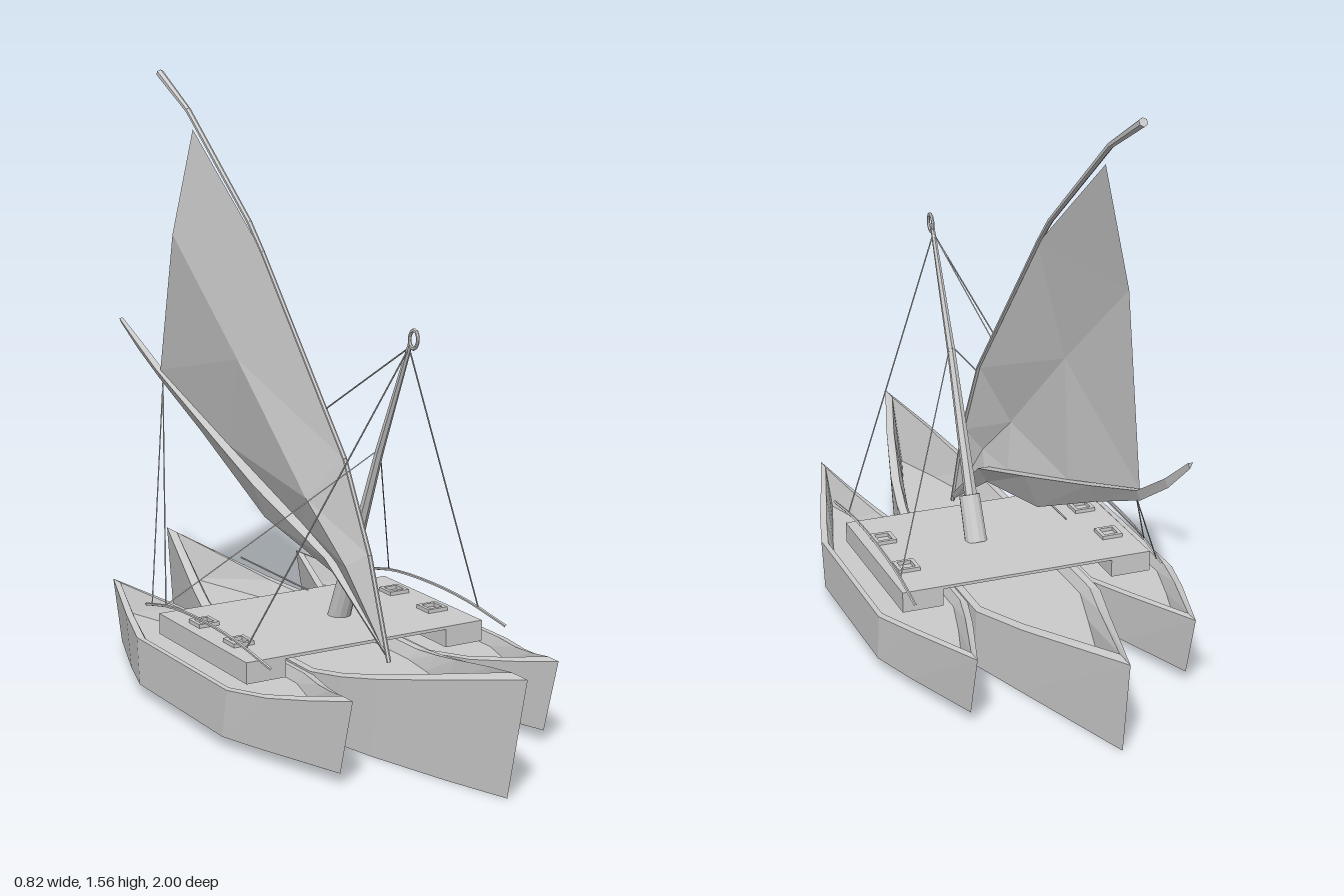
import * as THREE from 'three';

const V = (x, y, z) => new THREE.Vector3(x, y, z);
const material = new THREE.MeshStandardMaterial({ color: 0xcccccc, flatShading: true });
const thinMaterial = new THREE.MeshStandardMaterial({ color: 0xcccccc, flatShading: true, side: THREE.DoubleSide });

function mesh(geometry, name, mat = material) {
  const m = new THREE.Mesh(geometry, mat);
  m.name = name;
  return m;
}

// Geometry from a list of triangles, each a Vector3 triple
function fromTriangles(tris) {
  const g = new THREE.BufferGeometry().setFromPoints(tris);
  g.computeVertexNormals();
  return g;
}

// Quads between successive rows of points
function loft(rows, closed) {
  const tris = [];
  for (let r = 0; r < rows.length - 1; r++) {
    const a = rows[r], b = rows[r + 1], n = a.length;
    for (let i = 0; i < (closed ? n : n - 1); i++) {
      const j = (i + 1) % n;
      tris.push(a[i], a[j], b[j], a[i], b[j], b[i]);
    }
  }
  return tris;
}

// Tapered rod between two points
function rod(a, b, r0, r1, name, sides = 6) {
  const m = mesh(new THREE.CylinderGeometry(r1, r0, a.distanceTo(b), sides), name);
  m.position.copy(a).lerp(b, 0.5);
  m.quaternion.setFromUnitVectors(V(0, 1, 0), b.clone().sub(a).normalize());
  return m;
}

// Chain of tapered rods; each point is [x, y, z, radius]
function spar(points, name) {
  const g = new THREE.Group();
  g.name = name;
  for (let i = 0; i < points.length - 1; i++) {
    const [p, q] = [points[i], points[i + 1]];
    g.add(rod(V(p[0], p[1], p[2]), V(q[0], q[1], q[2]), p[3], q[3], name + 'Segment'));
  }
  return g;
}

// Open hull: bottom, outer wall, rim, sloping inner wall and floor.
// Stations run bow to stern: [z, half width, sheer height]
function hull(stations, keelY, floorY, bowRake, sternRake, name) {
  const last = stations.length - 1;
  const zBow = stations[0][0], zStern = stations[last][0], mid = (zBow + zStern) / 2;
  const ring = (f) => [
    ...stations.map((s) => f(s, 1)),
    ...stations.slice(1, last).reverse().map((s) => f(s, -1)),
  ];
  const inset = (z, k) => mid + (z - mid) * k;
  const bottom = ring(([z, w], s) => V(s * w, keelY, z > 0 ? z * bowRake : z * sternRake));
  const top = ring(([z, w, y], s) => V(s * w, y, z));
  const rim = ring(([z, w, y], s) => V(s * w * 0.88, y, inset(z, 0.93)));
  const floor = ring(([z, w], s) => V(s * w * 0.8, floorY, inset(z, 0.84)));
  const tris = loft([bottom, top, rim, floor], true);
  for (let i = 1; i < bottom.length - 1; i++) {
    tris.push(bottom[0], bottom[i + 1], bottom[i], floor[0], floor[i], floor[i + 1]);
  }
  return mesh(fromTriangles(tris), name);
}

export function createModel() {
  const model = new THREE.Group();
  model.name = 'trimaran';

  // Hulls
  model.add(hull([
    [1, 0, 0.305], [0.82, 0.06, 0.262], [0.58, 0.128, 0.205], [0.45, 0.155, 0.178], [0.33, 0.172, 0.16],
    [-0.22, 0.172, 0.157], [-0.4, 0.118, 0.178], [-0.785, 0, 0.245],
  ], 0, 0.13, 0.93, 0.955, 'mainHull'));
  for (const side of [-1, 1]) {
    const outrigger = hull([
      [0.725, 0, 0.222], [0.6, 0.04, 0.193], [0.47, 0.083, 0.168], [0.34, 0.12, 0.155],
      [-0.15, 0.12, 0.153], [-0.3, 0.078, 0.17], [-0.54, 0, 0.195],
    ], 0.03, 0.125, 0.925, 0.91, 'outriggerHull');
    outrigger.position.x = side * 0.29;
    model.add(outrigger);
  }

  // Deck platform with a beam box over each outrigger
  const deck = mesh(new THREE.BoxGeometry(0.69, 0.008, 0.47), 'deck');
  deck.position.set(0, 0.204, 0.085);
  model.add(deck);
  const frame = new THREE.Shape([[-1, -1], [1, -1], [1, 1], [-1, 1]].map(([x, y]) => new THREE.Vector2(x * 0.029, y * 0.029)));
  frame.holes.push(new THREE.Path([[-1, -1], [-1, 1], [1, 1], [1, -1]].map(([x, y]) => new THREE.Vector2(x * 0.019, y * 0.019))));
  const frameGeo = new THREE.ExtrudeGeometry(frame, { depth: 0.01, bevelEnabled: false }).rotateX(-Math.PI / 2);
  for (const side of [-1, 1]) {
    const box = mesh(new THREE.BoxGeometry(0.11, 0.05, 0.47), 'deckBox');
    box.position.set(side * 0.29, 0.178, 0.085);
    model.add(box);
    for (const z of [-0.01, 0.175]) {
      const hatch = mesh(frameGeo, 'hatchFrame');
      hatch.position.set(side * 0.287, 0.208, z);
      model.add(hatch);
    }
    // Bowed side rail
    const rail = new THREE.CatmullRomCurve3([
      V(side * 0.34, 0.223, 0.435), V(side * 0.34, 0.245, 0.26), V(side * 0.34, 0.25, 0.09), V(side * 0.34, 0.238, -0.1), V(side * 0.34, 0.21, -0.235),
    ]);
    model.add(mesh(new THREE.TubeGeometry(rail, 12, 0.004, 5), 'sideRail'));
  }
  model.add(rod(V(-0.112, 0.33, 0.215), V(-0.112, 0.33, -0.13), 0.0025, 0.0025, 'crossRod'));

  // Leaning mast in its socket, with an eye at the top
  model.add(rod(V(0.055, 0.2, 0.088), V(0.055, 0.318, 0.138), 0.03, 0.028, 'mastSocket', 12));
  model.add(spar([[0.052, 0.28, 0.122, 0.018], [0.048, 0.68, 0.292, 0.011], [0.046, 0.975, 0.432, 0.006]], 'mast'));
  const eye = mesh(new THREE.TorusGeometry(0.018, 0.0045, 6, 10), 'mastEye');
  eye.scale.y = 1.3;
  const eyeHolder = new THREE.Group();
  eyeHolder.name = 'mastEyeHolder';
  eyeHolder.add(eye);
  eye.rotation.y = Math.PI / 2;
  eyeHolder.rotation.x = 0.3;
  eyeHolder.position.set(0.046, 0.988, 0.447);
  model.add(eyeHolder);

  // Curved yard above the sail
  model.add(spar([
    [0, 0.18, 0.42, 0.006], [0, 0.43, 0.328, 0.006], [0, 0.65, 0.208, 0.006], [0, 1.12, -0.21, 0.006],
    [0, 1.19, -0.28, 0.007], [0, 1.46, -0.625, 0.008], [0, 1.552, -0.795, 0.011],
  ], 'yard'));

  // Bellied boom, flat on top with a curved keel: [x, top y, z, half width, depth]
  const boomRows = [
    [0, 0.2, 0.415, 0.006, 0.015], [0, 0.385, 0.15, 0.026, 0.043], [-0.003, 0.5, -0.2, 0.034, 0.09],
    [0, 0.62, -0.57, 0.02, 0.045], [0, 0.705, -0.82, 0.011, 0.026],
    [-0.015, 0.775, -0.93, 0.009, 0.024], [-0.036, 0.833, -0.995, 0.006, 0.014],
  ].map(([x, y, z, w, d]) => [V(x - w, y, z), V(x, y - d, z), V(x + w, y, z)]);
  const boomTris = loft(boomRows, true);
  const [b0, b1] = [boomRows[0], boomRows[boomRows.length - 1]];
  boomTris.push(b0[0], b0[1], b0[2], b1[0], b1[2], b1[1]);
  model.add(mesh(fromTriangles(boomTris), 'boom', thinMaterial));

  // Sail lofted from luff, belly and foot
  model.add(mesh(fromTriangles(loft([
    [V(0, 0.19, 0.41), V(0, 0.43, 0.32), V(0, 0.65, 0.2), V(0, 1.11, -0.2), V(0, 1.41, -0.6)],
    [V(0, 0.19, 0.41), V(-0.03, 0.39, 0.26), V(-0.045, 0.53, 0.09), V(-0.045, 0.83, -0.27), V(-0.045, 1.12, -0.64)],
    [V(0, 0.19, 0.41), V(0, 0.37, 0.17), V(0, 0.435, 0), V(0, 0.565, -0.4), V(0, 0.705, -0.815)],
  ], false)), 'sail', thinMaterial));

  // Rigging lines
  const top = V(0.046, 0.965, 0.427), middle = V(0.048, 0.69, 0.296);
  const boomEnd = V(0, 0.675, -0.8);
  const lines = [[top, V(0, 0.76, 0.11)], [boomEnd, V(-0.34, 0.235, -0.12)], [boomEnd, V(-0.335, 0.215, -0.21)]];
  for (const side of [-1, 1]) {
    lines.push([top, V(side * 0.34, 0.24, 0.31)], [middle, V(side * 0.34, 0.237, -0.12)]);
  }
  for (const [a, b] of lines) model.add(rod(a, b, 0.002, 0.002, 'riggingLine', 4));

  return model;
}
